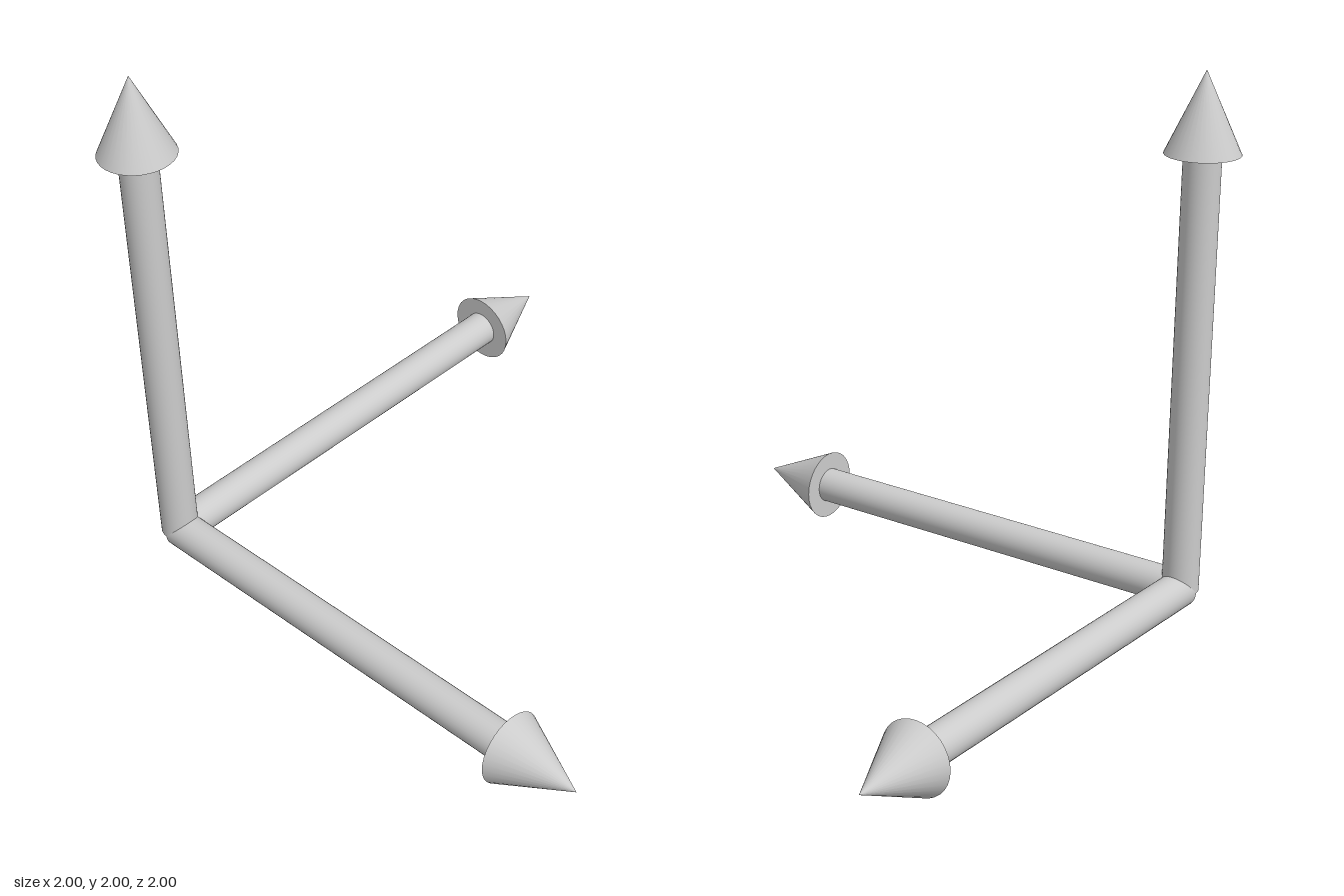
import * as THREE from 'three';

const SHAFT_RADIUS = 0.0655;
const HEAD_RADIUS = 0.131;
const SHAFT_LENGTH = 1.584;
const HEAD_LENGTH = 0.285;
const SIDES = 32;

export function createModel() {
  const model = new THREE.Group();
  model.name = 'axisArrows';
  const material = new THREE.MeshStandardMaterial({ color: 0xcccccc });

  // Shaft and head grow upwards from the shared corner
  const shaftGeometry = new THREE.CylinderGeometry(SHAFT_RADIUS, SHAFT_RADIUS, SHAFT_LENGTH, SIDES);
  shaftGeometry.translate(0, SHAFT_LENGTH / 2, 0);
  const headGeometry = new THREE.ConeGeometry(HEAD_RADIUS, HEAD_LENGTH, SIDES);
  headGeometry.translate(0, SHAFT_LENGTH + HEAD_LENGTH / 2, 0);

  function addArrow(name, rx, rz) {
    const arrow = new THREE.Group();
    arrow.name = name;
    const shaft = new THREE.Mesh(shaftGeometry, material);
    shaft.name = name + 'Shaft';
    const head = new THREE.Mesh(headGeometry, material);
    head.name = name + 'Head';
    arrow.add(shaft, head);
    arrow.rotation.set(rx, 0, rz);
    model.add(arrow);
  }

  // Three arrows at right angles: up, left (+x) and forward (+z)
  addArrow('upArrow', 0, 0);
  addArrow('sideArrow', 0, -Math.PI / 2);
  addArrow('forwardArrow', Math.PI / 2, 0);

  // The shared corner sits one head radius inside the bounds
  model.position.set(HEAD_RADIUS - 1, HEAD_RADIUS, HEAD_RADIUS - 1);
  return model;
}
